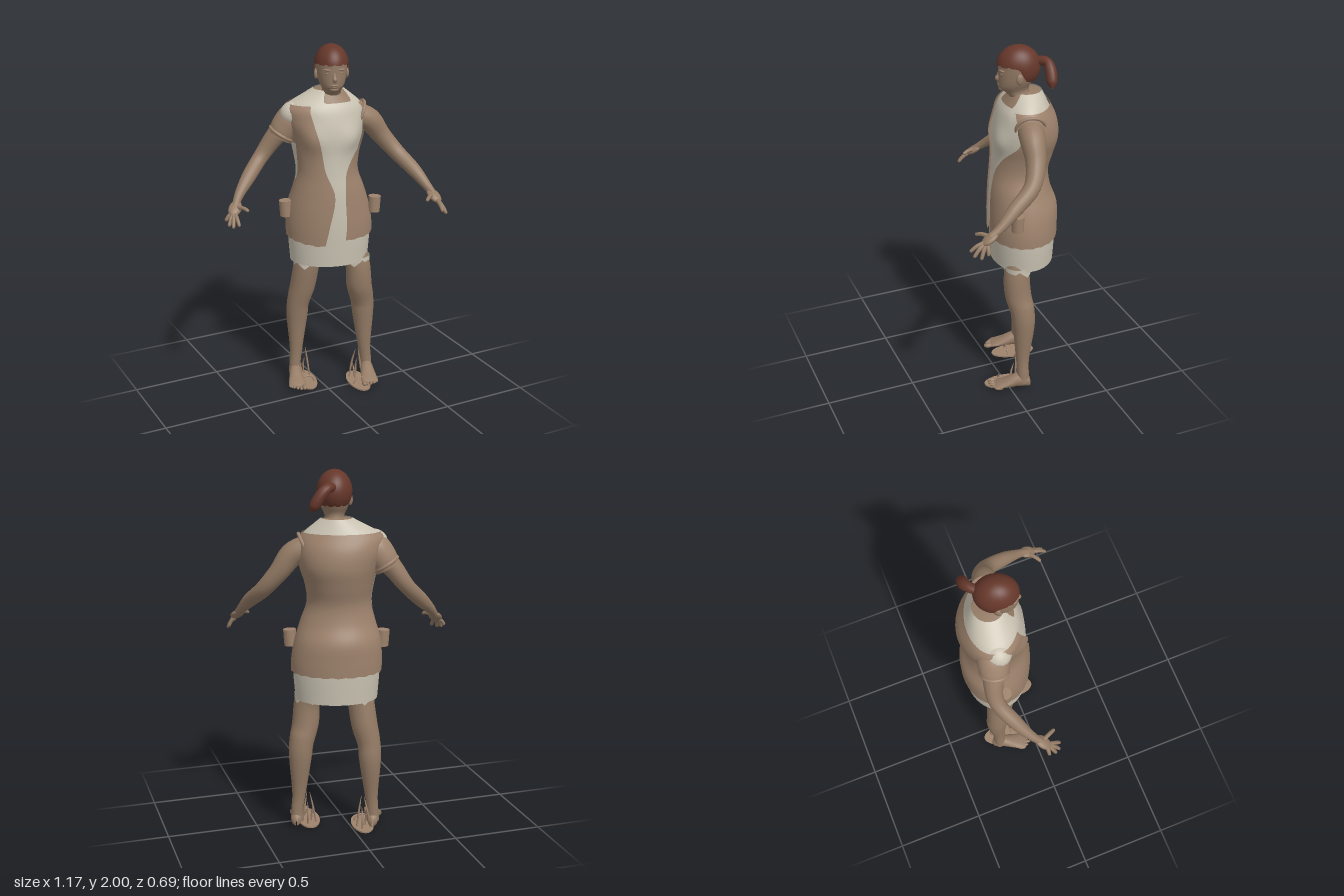
import * as THREE from 'three';

const V = (x, y, z) => new THREE.Vector3(x, y, z);
const mat = (name, color, side = THREE.FrontSide) => {
  const m = new THREE.MeshStandardMaterial({ color, side });
  m.name = name;
  return m;
};
const bump = (x, w) => Math.exp(-((x / w) ** 2));
const { lerp, smoothstep } = THREE.MathUtils;
const ring = (n, fn) => Array.from({ length: n }, (_, i) => fn((i / n) * Math.PI * 2, i));
const stack = (n, fn) => Array.from({ length: n + 1 }, (_, j) => fn(j / n));

// Smooth interpolation of a table whose first column is the parameter
function table(rows) {
  const it = new THREE.CubicInterpolant(rows.map(r => r[0]), rows.flatMap(r => r.slice(1)), rows[0].length - 1);
  return t => Array.from(it.evaluate(t));
}

// Skin over a stack of rings of points
function loft(rings, closed = true) {
  const n = rings[0].length, index = [];
  for (let j = 0; j < rings.length - 1; j++)
    for (let i = 0; i < (closed ? n : n - 1); i++) {
      const a = j * n + i, b = j * n + ((i + 1) % n);
      index.push(a, b, b + n, a, b + n, a + n);
    }
  const g = new THREE.BufferGeometry().setFromPoints(rings.flat());
  g.setIndex(index);
  g.computeVertexNormals();
  return g;
}

// Round limb along a path of [x, y, z, radius]
function limb(pts, steps = 24, sides = 18) {
  const curve = new THREE.CatmullRomCurve3(pts.map(p => V(p[0], p[1], p[2])));
  const f = curve.computeFrenetFrames(steps);
  const radius = table(pts.map((p, i) => [i / (pts.length - 1), p[3]]));
  return loft(stack(steps, t => {
    const j = Math.round(t * steps), c = curve.getPoint(t), r = Math.max(0.001, radius(t)[0]);
    return ring(sides, a => c.clone().addScaledVector(f.normals[j], r * Math.cos(a)).addScaledVector(f.binormals[j], r * Math.sin(a)));
  }));
}

// Torso outline: y, centre x, centre z, half width, half depth
const YAW = -0.25;
const torso = table([
  [0.76, 0.075, -0.145, 0.222, 0.172], [0.92, 0.075, -0.145, 0.234, 0.18], [1.0, 0.073, -0.145, 0.234, 0.182],
  [1.1, 0.068, -0.145, 0.22, 0.18], [1.2, 0.062, -0.13, 0.19, 0.16], [1.3, 0.056, -0.13, 0.162, 0.15],
  [1.4, 0.06, -0.145, 0.172, 0.16], [1.5, 0.066, -0.155, 0.198, 0.172], [1.6, 0.056, -0.16, 0.216, 0.158],
  [1.67, 0.05, -0.157, 0.204, 0.13], [1.72, 0.068, -0.16, 0.132, 0.1], [1.76, 0.08, -0.16, 0.07, 0.078],
]);
function torsoPoint(y, a, out) {
  const [cx, cz, w, d] = torso(y), s = Math.atan2(Math.sin(a), Math.cos(a));
  const k = 1 + 0.08 * bump(y - 1.5, 0.07) * (bump(s - 0.55, 0.3) + bump(s + 0.55, 0.3));
  return V(Math.sin(a) * (w + out) * k, y, Math.cos(a) * (d + out) * k)
    .applyAxisAngle(V(0, 1, 0), YAW).add(V(cx, 0, cz));
}

export function createModel() {
  const root = new THREE.Group();
  const skin = mat('skin', 0x947b65);
  const cloth = mat('cream cloth', 0xc9c2b2, THREE.DoubleSide);
  const leather = mat('tan leather', 0x9e836d, THREE.DoubleSide);
  const hair = mat('red brown hair', 0x66372a, THREE.DoubleSide);
  const add = (parent, name, geo, m, pos = [0, 0, 0], scale = [1, 1, 1], rotY = 0) => {
    const mesh = new THREE.Mesh(geo, m);
    mesh.name = name;
    mesh.position.set(...pos);
    mesh.scale.set(...scale);
    mesh.rotation.y = rotY;
    parent.add(mesh);
    return mesh;
  };
  const group = (name, x, y, z, rotY) => {
    const g = new THREE.Group();
    g.name = name;
    g.position.set(x, y, z);
    g.rotation.y = rotY;
    root.add(g);
    return g;
  };
  const ball = new THREE.SphereGeometry(1, 20, 14);

  // Dress with a neckline that dips in front, over bare upper chest
  add(root, 'dress', loft(stack(50, t => ring(72, a => {
    const s = Math.atan2(Math.sin(a), Math.cos(a));
    return torsoPoint(lerp(0.77, 1.752 - 0.062 * smoothstep(0.75 - Math.abs(s - 0.33), 0, 0.3), t), a, 0);
  }))), cloth);
  const chest = stack(12, t => ring(48, a => torsoPoint(lerp(1.6, 1.745, t), a, -0.006)));
  chest.push(ring(48, () => V(0.078, 1.75, -0.14)));
  add(root, 'upperChest', loft(chest), skin);

  // Open vest: y, right and left edge angle of the front opening
  const opening = table([[0.88, -0.27, 0.2], [1.0, -0.15, 0.26], [1.2, 0, 0.33], [1.33, -0.25, 0.52],
    [1.42, -0.32, 0.85], [1.5, -0.37, 1.25], [1.57, -0.41, 1.25], [1.69, -0.5, 1.0]]);
  const vest = stack(44, v => stack(72, t => {
    const y = lerp(0.925 - 0.028 * bump(t - 1, 0.15) + 0.003 * Math.sin(t * 122), 1.68, v);
    const [r, l] = opening(y);
    return torsoPoint(y, lerp(l, r + Math.PI * 2, t), 0.011);
  }));
  add(root, 'vest', loft(vest, false), leather);

  // Cream side panel showing under the right arm
  add(root, 'sidePanel', loft(stack(8, v => stack(8, t =>
    torsoPoint(lerp(1.26, 1.47, v), -1.5 + (t - 0.5) * lerp(0.1, 0.65, v), 0.014))), false), cloth);

  // Sleeves: a puff with a cream shoulder on the right, a thin armhole band on the left
  add(root, 'rightSleeve', limb([[-0.07, 1.62, -0.2, 0.06], [-0.11, 1.59, -0.21, 0.085],
    [-0.15, 1.54, -0.225, 0.082], [-0.18, 1.485, -0.235, 0.07]]), leather);
  add(root, 'rightShoulderCloth', ball, cloth, [-0.112, 1.618, -0.19], [0.082, 0.072, 0.076]);
  const bands = [['rightCuff', [-0.172, 1.505, -0.232], 0.068, 0.012, [-0.5, -0.85, -0.2]],
    ['leftArmhole', [0.24, 1.6, -0.114], 0.076, 0.009, [0.88, -0.42, 0.2]]];
  for (const [name, pos, r, tube, dir] of bands)
    add(root, name, new THREE.TorusGeometry(r, tube, 10, 28), leather, pos)
      .quaternion.setFromUnitVectors(V(0, 0, 1), V(...dir).normalize());

  // Belt pouches
  for (const [name, x, z, tilt] of [['rightPouch', -0.178, -0.18, 0.05], ['leftPouch', 0.3, -0.022, -0.05]]) {
    const p = group(name, x, 1.09, z, YAW);
    p.rotation.z = tilt;
    add(p, 'pouchBody', new THREE.CylinderGeometry(0.035, 0.033, 0.09, 16), leather);
  }

  // Arms and hands: path, palm centre, finger tips (thumb last)
  const arms = {
    right: {
      path: [[-0.08, 1.615, -0.2, 0.07], [-0.19, 1.505, -0.245, 0.056], [-0.28, 1.385, -0.265, 0.043],
        [-0.385, 1.29, -0.21, 0.039], [-0.475, 1.21, -0.145, 0.025], [-0.51, 1.17, -0.105, 0.02]],
      palm: [-0.515, 1.163, -0.098], tilt: [-0.6, -0.55, 0.6],
      tips: [[-0.578, 1.105, -0.085], [-0.575, 1.085, -0.045], [-0.56, 1.08, -0.018], [-0.53, 1.09, -0.005], [-0.47, 1.165, -0.015]],
    },
    left: {
      path: [[0.21, 1.6, -0.12, 0.068], [0.3, 1.56, -0.1, 0.066], [0.375, 1.465, -0.085, 0.053],
        [0.445, 1.37, -0.035, 0.045], [0.495, 1.285, 0.085, 0.038], [0.525, 1.215, 0.175, 0.025], [0.533, 1.182, 0.23, 0.02]],
      palm: [0.533, 1.176, 0.234], tilt: [0.15, -0.5, 0.85],
      tips: [[0.578, 1.1, 0.26], [0.575, 1.085, 0.3], [0.555, 1.095, 0.333], [0.525, 1.115, 0.343], [0.455, 1.17, 0.285]],
    },
  };
  for (const [side, arm] of Object.entries(arms)) {
    add(root, side + 'Arm', limb(arm.path, 30), skin);
    const dir = V(...arm.tilt).normalize(), palm = V(...arm.palm);
    add(root, side + 'Palm', ball, skin, arm.palm, [0.035, 0.019, 0.054]).quaternion.setFromUnitVectors(V(0, 0, 1), dir);
    arm.tips.forEach((tip, i) => {
      const end = V(...tip), base = palm.clone().addScaledVector(dir, i < 4 ? 0.02 : -0.01).lerp(end, 0.13);
      const mid = base.clone().lerp(end, 0.55).add(V(0, 0.008, 0)), last = mid.clone().lerp(end, 0.85);
      add(root, side + (i < 4 ? 'Finger' : 'Thumb'), limb([[...base, 0.013], [...mid, 0.011], [...last, 0.009], [...end, 0.001]], 10, 8), skin);
    });
  }

  // Legs
  add(root, 'rightLeg', limb([[-0.03, 0.9, -0.15, 0.07], [-0.058, 0.75, -0.16, 0.073], [-0.075, 0.6, -0.185, 0.072],
    [-0.095, 0.5, -0.203, 0.064], [-0.098, 0.4, -0.215, 0.06], [-0.108, 0.2, -0.21, 0.037], [-0.116, 0.1, -0.21, 0.033], [-0.117, 0.045, -0.21, 0.036]], 36), skin);
  add(root, 'leftLeg', limb([[0.17, 0.9, -0.115, 0.065], [0.213, 0.75, -0.06, 0.071], [0.228, 0.6, -0.06, 0.074],
    [0.257, 0.5, -0.077, 0.068], [0.265, 0.4, -0.08, 0.061], [0.272, 0.2, -0.073, 0.038], [0.283, 0.1, -0.072, 0.034], [0.284, 0.045, -0.072, 0.036]], 36), skin);

  // Ragged cream leg openings below the hem
  for (const [name, x, z] of [['rightRaggedHem', -0.057, -0.16], ['leftRaggedHem', 0.21, -0.068]])
    add(root, name, loft(stack(2, t => ring(30, (a, i) =>
      V(x + 0.078 * Math.sin(a), lerp(0.732 + 0.013 * Math.abs((i % 6) - 3), 0.785, t), z + 0.078 * Math.cos(a))))), cloth);

  // Feet: z along the foot, half width, height
  const footRows = [[-0.048, 0.004, 0.03], [-0.04, 0.026, 0.06], [-0.01, 0.034, 0.085], [0.03, 0.036, 0.085],
    [0.08, 0.043, 0.055], [0.12, 0.049, 0.035], [0.15, 0.047, 0.024], [0.165, 0.032, 0.012]];
  const foot = loft(footRows.map(([z, w, h]) => ring(20, a => V(w * Math.cos(a), 0.018 + (h / 2) * (1 + Math.sin(a)), z))));
  for (const [side, x, z, s, sx, sz] of [['right', -0.117, -0.208, -1, -0.072, -0.162], ['left', 0.284, -0.068, 1, 0.198, -0.005]]) {
    const f = group(side + 'Foot', x, 0, z, -0.34);
    add(f, 'instep', foot, skin);
    for (let i = 0; i < 5; i++) {
      const r = i ? 0.0098 : 0.014;
      add(f, 'toe', ball, skin, [s * (-0.037 + i * 0.0195), 0.018 + r, 0.174 - i * i * 0.0025], [r, r, 0.025]);
    }
    // Loose sandal with upright straps
    const sandal = group(side + 'Sandal', sx, 0, sz, -0.15);
    add(sandal, 'sandalSole', new THREE.CylinderGeometry(1, 1, 0.008, 32), leather, [0, 0.006, 0], [0.062, 1, 0.128]);
    for (const [bx, bz, tx, h] of [[-0.035, -0.06, 0, 0.19], [0.04, -0.045, 0.015, 0.195], [0.015, -0.08, 0.012, 0.13], [-0.01, -0.03, -0.02, 0.11]])
      add(sandal, 'strap', limb([[bx, 0.008, bz, 0.004], [(bx + tx) / 2, h * 0.55, bz - 0.004, 0.006], [tx, h, -0.05, 0.001]], 8, 6), leather);
    add(sandal, 'toeLoop', new THREE.TorusGeometry(0.04, 0.004, 6, 20, Math.PI), leather, [0, 0.008, 0.04]);
  }

  // Head and neck: y, centre z, half width, half depth
  const head = group('head', 0.075, 0, -0.115, -0.3);
  const skull = table([[1.66, -0.02, 0.066, 0.064], [1.73, -0.008, 0.057, 0.058], [1.757, 0.012, 0.052, 0.069], [1.775, 0.023, 0.06, 0.08],
    [1.8, 0.018, 0.071, 0.088], [1.84, 0.008, 0.08, 0.098], [1.88, 0, 0.084, 0.106], [1.92, 0, 0.082, 0.104], [1.96, 0, 0.065, 0.082], [1.985, 0, 0.03, 0.04]]);
  add(head, 'face', loft(stack(36, t => {
    const y = lerp(1.66, 1.985, t), [cz, w, d] = skull(y);
    return ring(32, a => V(Math.sin(a) * w, y, cz + Math.cos(a) * d));
  })), skin);
  add(head, 'nose', limb([[0, 1.868, 0.096, 0.007], [0, 1.838, 0.104, 0.01], [0, 1.82, 0.11, 0.013], [0, 1.808, 0.1, 0.004]], 12, 12), skin);
  add(head, 'upperLip', ball, skin, [0, 1.793, 0.1], [0.023, 0.005, 0.009]);
  add(head, 'lowerLip', ball, skin, [0, 1.784, 0.098], [0.02, 0.006, 0.009]);
  add(head, 'chin', ball, skin, [0, 1.77, 0.088], [0.026, 0.015, 0.016]);
  for (const s of [-1, 1]) {
    add(head, 'eye', ball, skin, [s * 0.034, 1.857, 0.086], [0.015, 0.007, 0.012]);
    add(head, 'brow', ball, skin, [s * 0.036, 1.876, 0.088], [0.026, 0.007, 0.014], s * 0.35);
    add(head, 'ear', ball, skin, [s * 0.083, 1.84, 0], [0.012, 0.03, 0.02], s * 0.4);
  }

  // Hair cap with a straight fringe, lower at the nape, and a side ponytail
  add(head, 'hair', loft(stack(20, t => ring(48, (a, i) => {
    const edge = lerp(1.9, 1.815, smoothstep(-Math.cos(a), -0.2, 0.5)) + (i % 4 === 0 ? 0.006 : 0);
    const e = lerp(Math.asin((edge - 1.885) / 0.115), Math.PI / 2 - 0.005, t);
    return V(Math.sin(a) * 0.094 * Math.cos(e), 1.885 + 0.115 * Math.sin(e), Math.cos(a) * 0.116 * Math.cos(e));
  }))), hair);
  add(root, 'ponytail', limb([[0.1, 1.915, -0.19, 0.022], [0.155, 1.915, -0.24, 0.028], [0.19, 1.88, -0.245, 0.031],
    [0.222, 1.828, -0.24, 0.028], [0.238, 1.8, -0.235, 0.006]], 20, 14), hair);
  return root;
}
